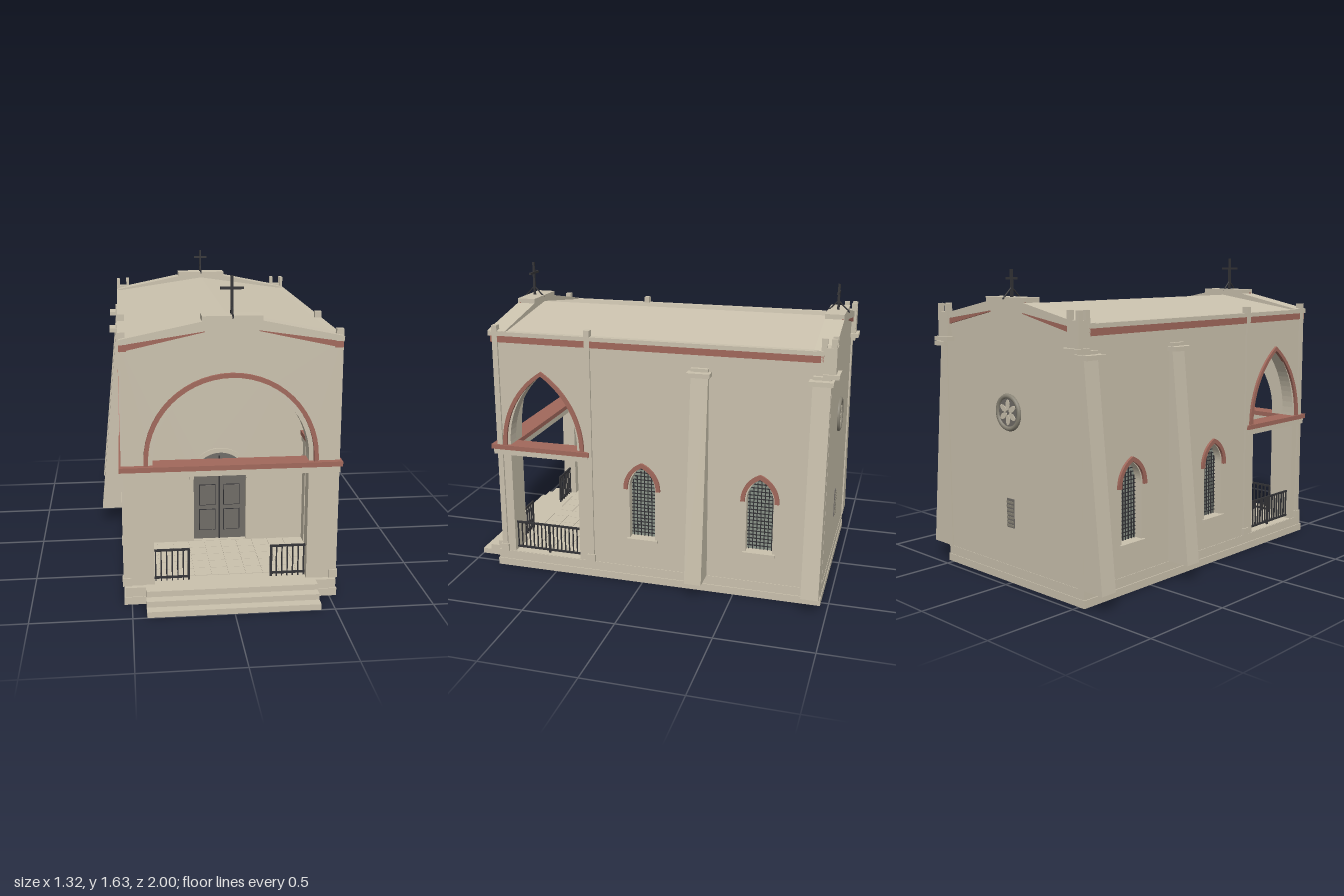
import * as THREE from 'three';

const mat = (name, color, extra = {}) => {
  const m = new THREE.MeshStandardMaterial({ color, ...extra });
  m.name = name;
  return m;
};

export function createModel() {
  const plaster = mat('plaster', 0xcbc2ae);
  const red = mat('redTrim', 0xa2695c);
  const doorGrey = mat('doorGrey', 0x706c67);
  const iron = mat('iron', 0x343437);
  const glass = mat('glass', 0x8b9489);
  const stone = mat('darkStone', 0x8a8577);

  const root = new THREE.Group();
  root.name = 'chapel';
  const add = (name, geo, m, x = 0, y = 0, z = 0) => {
    const mesh = new THREE.Mesh(geo, m);
    mesh.name = name;
    mesh.position.set(x, y, z);
    root.add(mesh);
    return mesh;
  };
  // Box given by its limits
  const box = (name, m, x0, x1, y0, y1, z0, z1) =>
    add(name, new THREE.BoxGeometry(Math.abs(x1 - x0), y1 - y0, Math.abs(z1 - z0)), m,
      (x0 + x1) / 2, (y0 + y1) / 2, (z0 + z1) / 2);
  // The same box on both sides of the model
  const pair = (name, m, x0, x1, ...rest) => {
    for (const s of [1, -1]) box(name, m, s * x0, s * x1, ...rest);
  };

  // Arch outline from +w to -w; round when h = w, pointed when h > w
  const arch = (w, h, y0, cx = 0, n = 14) => {
    const R = (w * w + h * h) / (2 * w), c = w - R, end = Math.atan2(h, -c);
    const half = [];
    for (let i = 0; i <= n; i++) {
      const a = (end * i) / n;
      half.push([c + R * Math.cos(a), y0 + R * Math.sin(a)]);
    }
    const other = half.slice(0, -1).reverse().map(([x, y]) => [-x, y]);
    return [...half, ...other].map(([x, y]) => new THREE.Vector2(x + cx, y));
  };
  const poly = (pts) => new THREE.Shape(pts.map((p) => (Array.isArray(p) ? new THREE.Vector2(...p) : p)));
  const mirrored = (pts) => poly([...pts, ...pts.slice().reverse().map(([x, y]) => [-x, y])]);
  const opening = (w, h, y0, yb, cx = 0) => poly([...arch(w, h, y0, cx), [cx - w, yb], [cx + w, yb]]);
  const band = (wo, ho, wi, hi, y0, yb, cx = 0) => poly([
    [cx + wo, yb], ...arch(wo, ho, y0, cx), [cx - wo, yb],
    [cx - wi, yb], ...arch(wi, hi, y0, cx).reverse(), [cx + wi, yb]]);
  const rect = (x0, x1, y0, y1) => poly([[x0, y0], [x1, y0], [x1, y1], [x0, y1]]);
  const extrude = (shape, depth) => new THREE.ExtrudeGeometry(shape, { depth, bevelEnabled: false, curveSegments: 12 });
  // Extrusion of a (z, y) shape on both flanks, with its outer face at x
  const flank = (name, shape, m, x, depth) => {
    const geo = extrude(shape, depth).rotateY(-Math.PI / 2);
    add(name, geo, m, x);
    add(name, geo, m, depth - x);
  };

  // Base and steps
  box('plinth', plaster, -0.538, 0.538, 0, 0.04, -0.96, 0.85);
  box('floorSlab', plaster, -0.533, 0.533, 0.04, 0.088, -0.957, 0.845);
  for (let i = 0; i < 3; i++)
    box('step', plaster, -0.43, 0.43, 0, 0.03 * (i + 1), 0.8, 1 - 0.05 * i);
  // Porch floor tiles
  for (let i = 0; i < 10; i++) for (let j = 0; j < 5; j++)
    box('floorTile', plaster, -0.44 + i * 0.088, -0.355 + i * 0.088, 0.086, 0.091, 0.3 + j * 0.088, 0.385 + j * 0.088);

  // Side walls with porch arch, porch opening and windows
  const winZ = [0, -0.63], porchZ = 0.5525;
  const side = rect(-0.95, 0.815, 0.05, 1.32);
  side.holes.push(rect(0.36, 0.745, 0.09, 0.66), opening(0.1925, 0.39, 0.735, 0.7, porchZ));
  for (const z of winZ) side.holes.push(opening(0.07, 0.12, 0.54, 0.255, z));
  flank('sideWall', side, plaster, 0.53, 0.07);
  flank('sideArchTrim', band(0.232, 0.42, 0.21, 0.396, 0.72, 0.715, porchZ), red, 0.543, 0.02);

  // Side windows
  for (const z of winZ) {
    flank('windowGlass', opening(0.072, 0.122, 0.54, 0.25, z), glass, 0.485, 0.008);
    flank('windowHood', band(0.1, 0.145, 0.078, 0.12, 0.54, 0.535, z), red, 0.543, 0.02);
    pair('windowSill', plaster, 0.5, 0.546, 0.24, 0.255, z - 0.085, z + 0.085);
    for (let i = -3; i <= 3; i++) {
      const top = 0.648 - Math.abs(i) * 0.024;
      pair('windowBar', iron, 0.485, 0.491, 0.255, top, z + i * 0.02 - 0.002, z + i * 0.02 + 0.002);
    }
    for (let y = 0.275; y < 0.64; y += 0.02) {
      const w = y < 0.55 ? 0.07 : 0.07 * Math.sqrt(Math.max(0, (0.665 - y) / 0.115));
      pair('windowBar', iron, 0.485, 0.491, y - 0.002, y + 0.002, z - w, z + w);
    }
  }

  // Front and back gable walls
  const gable = [[0.53, 0.05], [0.53, 1.32], [0.14, 1.405], [0.14, 1.43]];
  const front = mirrored(gable);
  front.holes.push(rect(-0.385, 0.385, 0.09, 0.66), opening(0.385, 0.385, 0.742, 0.7));
  add('frontWall', extrude(front, 0.075), plaster, 0, 0, 0.745);
  add('backWall', extrude(mirrored(gable), 0.085), plaster, 0, 0, -0.955);
  add('frontArchTrim', extrude(band(0.43, 0.43, 0.408, 0.408, 0.742, 0.715), 0.022), red, 0, 0, 0.815);

  // Red string course and coping along each gable
  const redBand = mirrored([[0.53, 1.285], [0.53, 1.32], [0.145, 1.405], [0.145, 1.43]]);
  redBand.curves.length = 0;
  const trim = poly([[0.53, 1.285], [0.53, 1.32], [0.145, 1.405], [0.145, 1.43], [-0.145, 1.43], [-0.145, 1.405],
    [-0.53, 1.32], [-0.53, 1.285], [-0.13, 1.373], [-0.13, 1.402], [0.13, 1.402], [0.13, 1.373]]);
  const coping = mirrored([[0.12, 1.38], [0.535, 1.318], [0.535, 1.345], [0.145, 1.425], [0.145, 1.45]]);
  add('gableTrim', extrude(trim, 0.02), red, 0, 0, 0.815);
  add('gableTrim', extrude(trim, 0.02), red, 0, 0, -0.966);
  add('gableCoping', extrude(coping, 0.1), plaster, 0, 0, 0.745);
  add('gableCoping', extrude(coping, 0.1), plaster, 0, 0, -0.97);

  // Roof and eaves
  add('roof', extrude(mirrored([[0.52, 1.27], [0.53, 1.338], [0, 1.415]].slice(0, 2).concat([[0.001, 1.415]])), 1.74),
    plaster, 0, 0, -0.94);
  pair('eavesTrim', red, 0.5, 0.537, 1.285, 1.32, -0.92, 0.83);
  pair('eavesCoping', plaster, 0.5, 0.54, 1.32, 1.342, -0.92, 0.84);

  // Beam around the porch, with red capping
  box('frontBeam', plaster, -0.54, 0.54, 0.662, 0.695, 0.745, 0.842);
  box('frontBeamCap', red, -0.55, 0.55, 0.693, 0.718, 0.74, 0.852);
  pair('sideBeam', plaster, 0.45, 0.542, 0.662, 0.695, 0.3, 0.8);
  pair('sideBeamCap', red, 0.445, 0.55, 0.693, 0.718, 0.29, 0.8);

  // Slender posts on the flanks
  for (const z of [0.805, 0.29]) {
    pair('slimPost', plaster, 0.505, 0.54, 0.09, 1.375, z - 0.015, z + 0.015);
    pair('postFoot', plaster, 0.5, 0.545, 0.088, 0.13, z - 0.022, z + 0.022);
  }

  // Inner porch wall and double door
  const inner = rect(-0.47, 0.47, 0.06, 1.3);
  inner.holes.push(opening(0.145, 0.145, 0.46, 0.09));
  add('porchBackWall', extrude(inner, 0.06), plaster, 0, 0, 0.23);
  add('doorSurround', extrude(band(0.17, 0.17, 0.145, 0.145, 0.46, 0.455), 0.012), plaster, 0, 0, 0.288);
  add('door', extrude(opening(0.147, 0.147, 0.46, 0.088), 0.02), doorGrey, 0, 0, 0.24);
  box('doorGap', iron, -0.004, 0.004, 0.09, 0.575, 0.258, 0.263);
  for (const [y0, y1] of [[0.14, 0.265], [0.288, 0.41]]) {
    pair('panelFrame', iron, 0.022, 0.113, y0, y1, 0.258, 0.262);
    pair('doorPanel', doorGrey, 0.026, 0.109, y0 + 0.004, y1 - 0.004, 0.258, 0.265);
  }

  // Iron railings: along x at the front, along z at the sides
  const r = 0.004;
  for (const [y, t] of [[0.108, 0.005], [0.255, 0.005]]) {
    pair('frontRail', iron, 0.205, 0.385, y - t, y + t, 0.775, 0.785);
    pair('sideRail', iron, 0.495, 0.505, y - t, y + t, 0.36, 0.745);
  }
  for (let i = 0; i <= 6; i++) {
    const x = 0.21 + i * 0.028, t = i ? 0.003 : 0.006;
    pair('railBar', iron, x - t, x + t, 0.09, 0.257, 0.78 - r, 0.78 + r);
  }
  for (let i = 0; i <= 16; i++) {
    const z = 0.365 + i * 0.0234, t = i === 8 ? 0.006 : 0.0025;
    pair('railBar', iron, 0.5 - r, 0.5 + r, i === 8 ? 0.09 : 0.108, 0.257, z - t, z + t);
  }

  // Battered buttresses with caps
  const batter = poly([[0.5, 0.09], [0.66, 0.09], [0.55, 1.185], [0.5, 1.185]]);
  for (const [z, w] of [[-0.31, 0.09], [-0.917, 0.09]]) {
    for (const s of [1, -1]) {
      const geo = extrude(batter, w);
      geo.translate(0, 0, -w / 2);
      if (s < 0) geo.rotateY(Math.PI);
      add('buttress', geo, plaster, 0, 0, z);
    }
    pair('buttressCap', plaster, 0.5, 0.588, 1.18, 1.203, z - 0.06, z + 0.06);
    pair('buttressCapTop', plaster, 0.5, 0.552, 1.2, 1.22, z - 0.045, z + 0.045);
  }

  // Rear corner strips and pinnacles
  pair('cornerStrip', plaster, 0.5, 0.535, 0.09, 1.21, -0.963, -0.9);
  pair('pinnacleLedge', plaster, 0.44, 0.552, 1.21, 1.232, -1, -0.92);
  pair('pinnacleBlock', plaster, 0.465, 0.54, 1.23, 1.36, -0.982, -0.93);
  for (const [x, z] of [[0.47, -0.967], [0.53, -0.967], [0.528, -0.92]])
    pair('pinnaclePost', plaster, x - 0.009, x + 0.009, 1.23, 1.405, z - 0.014, z + 0.014);

  // Rose window: ring, dark disc and six petals
  add('roseRing', new THREE.TorusGeometry(0.082, 0.013, 8, 32), stone, 0, 0.88, -0.957);
  add('roseDisc', new THREE.CylinderGeometry(0.08, 0.08, 0.008, 32).rotateX(Math.PI / 2), doorGrey, 0, 0.88, -0.957);
  for (let i = 0; i < 6; i++) {
    const petal = new THREE.CylinderGeometry(0.018, 0.018, 0.008, 12).rotateX(Math.PI / 2);
    petal.scale(0.8, 1.5, 1).translate(0, 0.038, 0).rotateZ((i * Math.PI) / 3);
    add('rosePetal', petal, plaster, 0, 0.88, -0.961);
  }
  // Slit vent under the rose window
  box('ventPane', doorGrey, -0.027, 0.027, 0.29, 0.44, -0.959, -0.95);
  for (let i = 0; i < 7; i++)
    box('ventSlat', stone, -0.025, 0.025, 0.297 + i * 0.02, 0.307 + i * 0.02, -0.963, -0.955);

  // Gable crosses with sloping stays
  for (const [z, top, bar, half] of [[0.805, 1.635, 1.575, 0.055], [-0.922, 1.585, 1.54, 0.04]]) {
    box('crossStem', iron, -0.006, 0.006, 1.44, top, z - 0.006, z + 0.006);
    box('crossBar', iron, -half, half, bar - 0.006, bar + 0.006, z - 0.006, z + 0.006);
    for (const s of [1, -1]) {
      const path = new THREE.LineCurve3(new THREE.Vector3(0, 1.497, z), new THREE.Vector3(0, 1.438, z + s * 0.06));
      add('crossStay', new THREE.TubeGeometry(path, 1, 0.004, 6), iron);
    }
  }
  return root;
}
